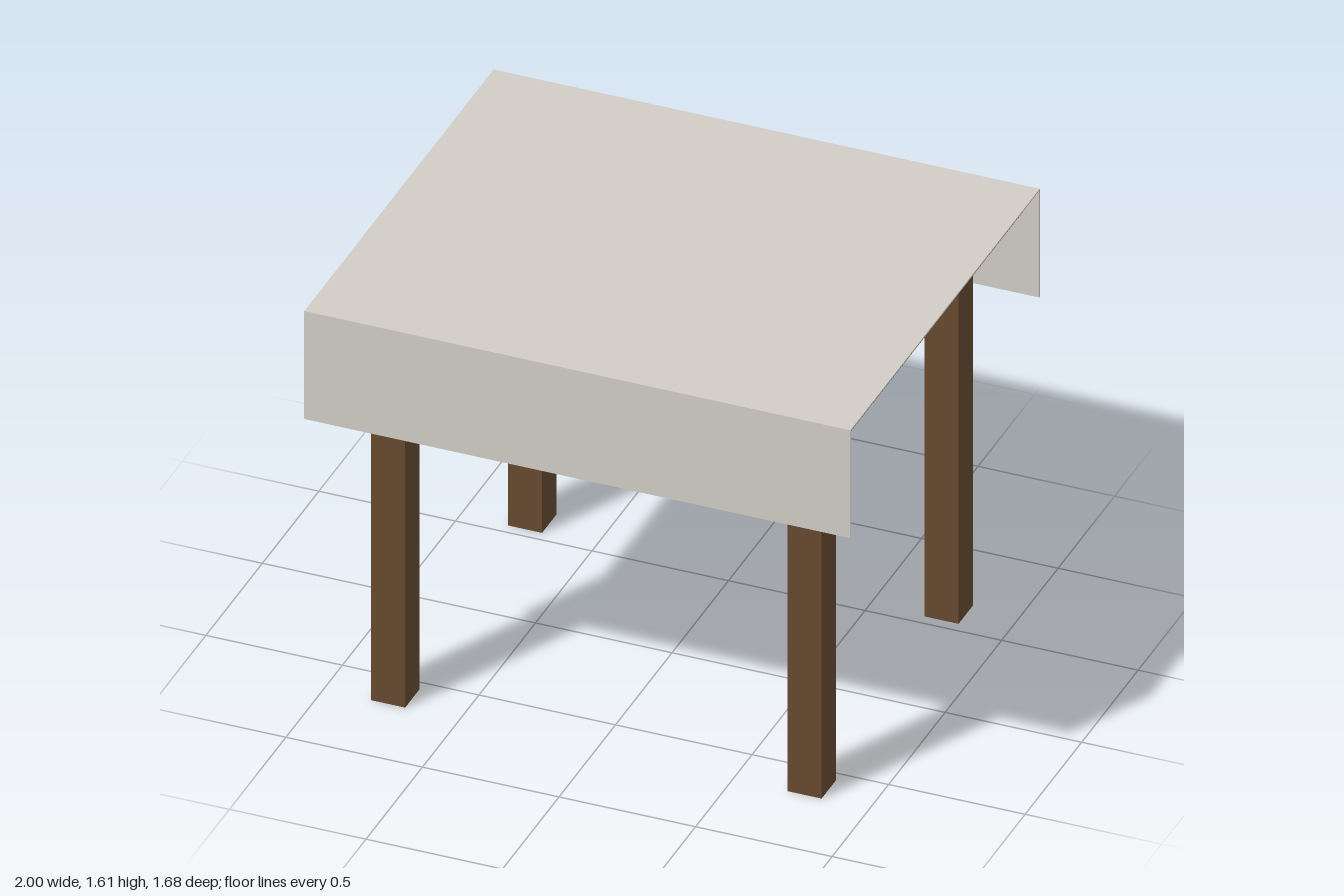
import * as THREE from 'three';

const wood = new THREE.MeshStandardMaterial({ color: 0x66492f, flatShading: true, side: THREE.DoubleSide });
const cloth = new THREE.MeshStandardMaterial({ color: 0xd1cdc5, flatShading: true, side: THREE.DoubleSide });

function add(group, name, geometry, material, x, y, z) {
  const mesh = new THREE.Mesh(geometry, material);
  mesh.name = name;
  mesh.position.set(x, y, z);
  group.add(mesh);
}

export function createModel() {
  const table = new THREE.Group();
  table.name = 'table';

  // Table top, and the solid frame beneath it, flush with the legs
  add(table, 'tableTop', new THREE.BoxGeometry(1.91, 0.073, 1.6), wood, 0, 1.5615, 0);
  add(table, 'frame', new THREE.BoxGeometry(1.65, 0.18, 1.34), wood, 0, 1.435, 0);

  // Four square legs, hollow and open at the foot
  const legHeight = 1.345;
  const legGeometry = new THREE.CylinderGeometry(Math.SQRT1_2, Math.SQRT1_2, legHeight, 4, 1, true, Math.PI / 4);
  legGeometry.scale(0.125, 1, 0.128);
  for (const [sz, end] of [[1, 'front'], [-1, 'back']]) {
    for (const [sx, side] of [[1, 'Left'], [-1, 'Right']]) {
      add(table, `${end}${side}Leg`, legGeometry, wood, sx * 0.7625, legHeight / 2, sz * 0.606);
    }
  }

  // Thin cloth: a folded strip, drawn in (z, y) and extruded along x
  const t = 0.006, halfDepth = 0.838, top = 1.605, hem = 1.175;
  const inner = halfDepth - t;
  const profile = new THREE.Shape([
    [-halfDepth, hem], [-inner, hem], [-inner, top - t], [inner, top - t],
    [inner, hem], [halfDepth, hem], [halfDepth, top], [-halfDepth, top],
  ].map(([z, y]) => new THREE.Vector2(z, y)));
  const clothGeometry = new THREE.ExtrudeGeometry(profile, { depth: 2, bevelEnabled: false });
  clothGeometry.translate(0, 0, -1).rotateY(Math.PI / 2);
  add(table, 'tablecloth', clothGeometry, cloth, 0, 0, 0);

  return table;
}
